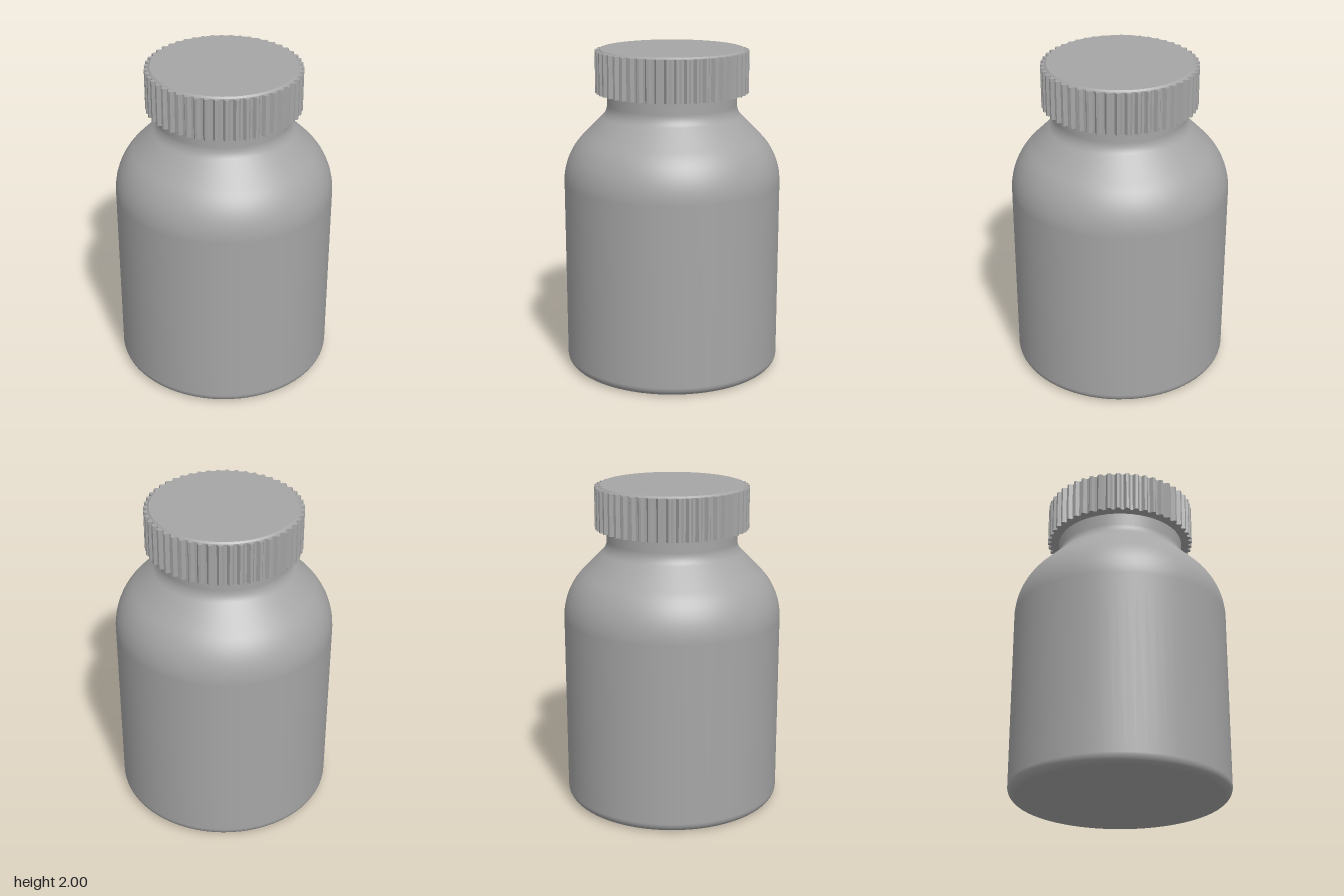
import * as THREE from 'three';

const plastic = new THREE.MeshStandardMaterial({ color: 0xa6a6a6 });
plastic.name = 'grey plastic';

function part(name, geometry, y = 0) {
  const mesh = new THREE.Mesh(geometry, plastic);
  mesh.name = name;
  mesh.position.y = y;
  return mesh;
}

// Bottle wall: rounded foot, straight side, domed shoulder, filleted neck
function bottleWall() {
  const p = new THREE.Path();
  p.absarc(0.61, 0.06, 0.06, -Math.PI / 2, 0, false);
  p.lineTo(0.67, 1.18);
  p.absarc(0.27, 1.18, 0.4, 0, Math.PI / 4, false);
  p.absarc(0.5, 1.658, 0.1, Math.PI * 1.25, Math.PI, true);
  p.lineTo(0.4, 1.78);
  return new THREE.LatheGeometry(p.getPoints(8), 72);
}

// Cap skirt: ring of tapered grip ridges, extruded upwards
function ridgedSkirt(ridges, height) {
  const step = (Math.PI * 2) / ridges;
  const tooth = [[-0.38, 0.45], [-0.13, 0.471], [0.13, 0.471], [0.38, 0.45]];
  const points = [];
  for (let i = 0; i < ridges; i++) {
    for (const [offset, r] of tooth) {
      const a = Math.PI / 2 + (i + offset) * step;
      points.push(new THREE.Vector2(Math.cos(a) * r, Math.sin(a) * r));
    }
  }
  const geometry = new THREE.ExtrudeGeometry(new THREE.Shape(points), { depth: height, bevelEnabled: false });
  return geometry.rotateX(-Math.PI / 2);
}

export function createModel() {
  const model = new THREE.Group();
  model.name = 'bottle';

  const body = new THREE.Group();
  body.name = 'body';
  body.add(part('bottleWall', bottleWall()));
  body.add(part('bottleBase', new THREE.CircleGeometry(0.61, 72).rotateX(Math.PI / 2)));

  const cap = new THREE.Group();
  cap.name = 'cap';
  cap.add(part('ridgedSkirt', ridgedSkirt(50, 0.255), 1.735));
  // Chamfered lid
  cap.add(part('capTop', new THREE.CylinderGeometry(0.438, 0.45, 0.012, 72), 1.994));

  model.add(body, cap);
  return model;
}
